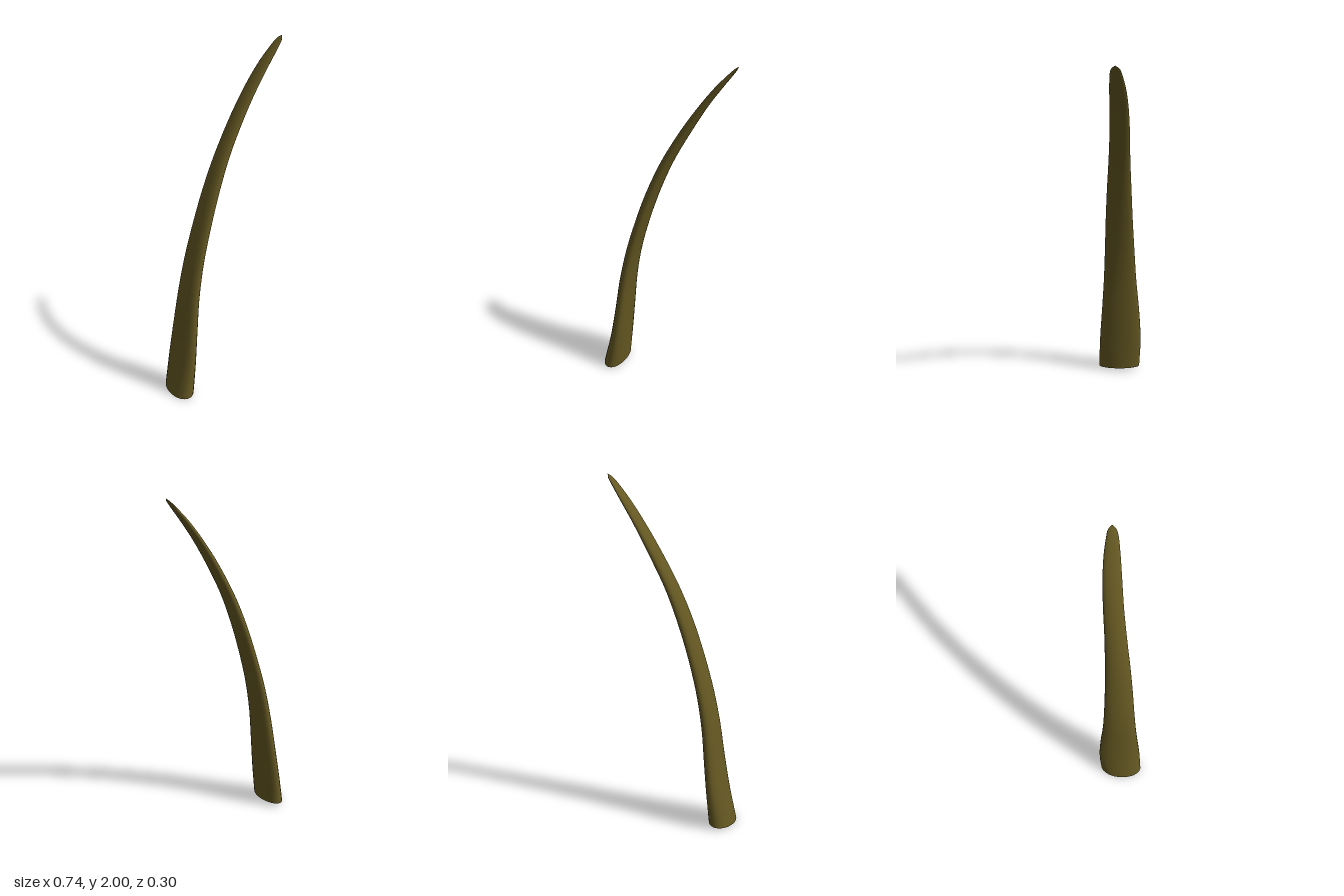
import * as THREE from 'three';

const SIDES = 24;
const RINGS = 44;

// Horizontal slices: [y, xMin, xMax, zMin, zMax]
const SLICES = [
  [0.012, -0.375, -0.222, -0.145, 0.09],
  [0.2, -0.333, -0.206, -0.147, 0.09],
  [0.4, -0.3, -0.19, -0.132, 0.082],
  [0.6, -0.272, -0.173, -0.11, 0.075],
  [0.8, -0.232, -0.142, -0.091, 0.075],
  [1.0, -0.178, -0.094, -0.07, 0.08],
  [1.2, -0.113, -0.033, -0.049, 0.085],
  [1.4, -0.03, 0.043, -0.025, 0.091],
  [1.6, 0.076, 0.142, 0.0, 0.105],
  [1.75, 0.168, 0.222, 0.026, 0.123],
  [1.86, 0.243, 0.289, 0.054, 0.138],
  [1.94, 0.307, 0.339, 0.084, 0.148],
  [1.98, 0.344, 0.363, 0.104, 0.147],
  [2.0, 0.369, 0.369, 0.13, 0.13],
];

function curveOf(points) {
  return new THREE.CatmullRomCurve3(points, false, 'catmullrom', 0.5);
}

export function createModel() {
  const group = new THREE.Group();
  group.name = 'horn';
  const material = new THREE.MeshStandardMaterial({ color: 0x655822 });

  // Centre line, and half widths along x and z
  const centre = curveOf(SLICES.map(([y, a, b, c, d]) => new THREE.Vector3((a + b) / 2, y, (c + d) / 2)));
  const half = curveOf(SLICES.map(([, a, b, c, d]) => new THREE.Vector3((b - a) / 2, 0, (d - c) / 2)));

  // Sheared ellipse rings, the lowest ones slanted to follow the cut base
  const positions = [];
  const indices = [];
  for (let i = 0; i <= RINGS; i++) {
    const t = i / RINGS;
    const c = centre.getPoint(t);
    const h = half.getPoint(t);
    const shear = Math.min(0.25 * h.z, 0.6 * h.x);
    const hx = Math.sqrt(Math.max(h.x * h.x - shear * shear, 0));
    const slant = 0.155 * Math.max(0, 1 - c.y / 0.3);
    for (let j = 0; j < SIDES; j++) {
      const a = (j / SIDES) * Math.PI * 2;
      const dx = hx * Math.cos(a) - shear * Math.sin(a);
      positions.push(c.x + dx, c.y + slant * dx, c.z + h.z * Math.sin(a));
      if (i < RINGS) {
        const p = i * SIDES + j;
        const q = i * SIDES + ((j + 1) % SIDES);
        indices.push(p, p + SIDES, q, q, p + SIDES, q + SIDES);
      }
    }
  }
  const shaft = new THREE.BufferGeometry();
  shaft.setAttribute('position', new THREE.Float32BufferAttribute(positions, 3));
  shaft.setIndex(indices);
  shaft.computeVertexNormals();
  const shaftMesh = new THREE.Mesh(shaft, material);
  shaftMesh.name = 'hornShaft';
  group.add(shaftMesh);

  // Flat cap closing the base
  const capIndices = [];
  for (let j = 1; j < SIDES - 1; j++) capIndices.push(0, j, j + 1);
  const cap = new THREE.BufferGeometry();
  cap.setAttribute('position', new THREE.Float32BufferAttribute(positions.slice(0, SIDES * 3), 3));
  cap.setIndex(capIndices);
  cap.computeVertexNormals();
  const capMesh = new THREE.Mesh(cap, material);
  capMesh.name = 'baseCap';
  group.add(capMesh);

  return group;
}
